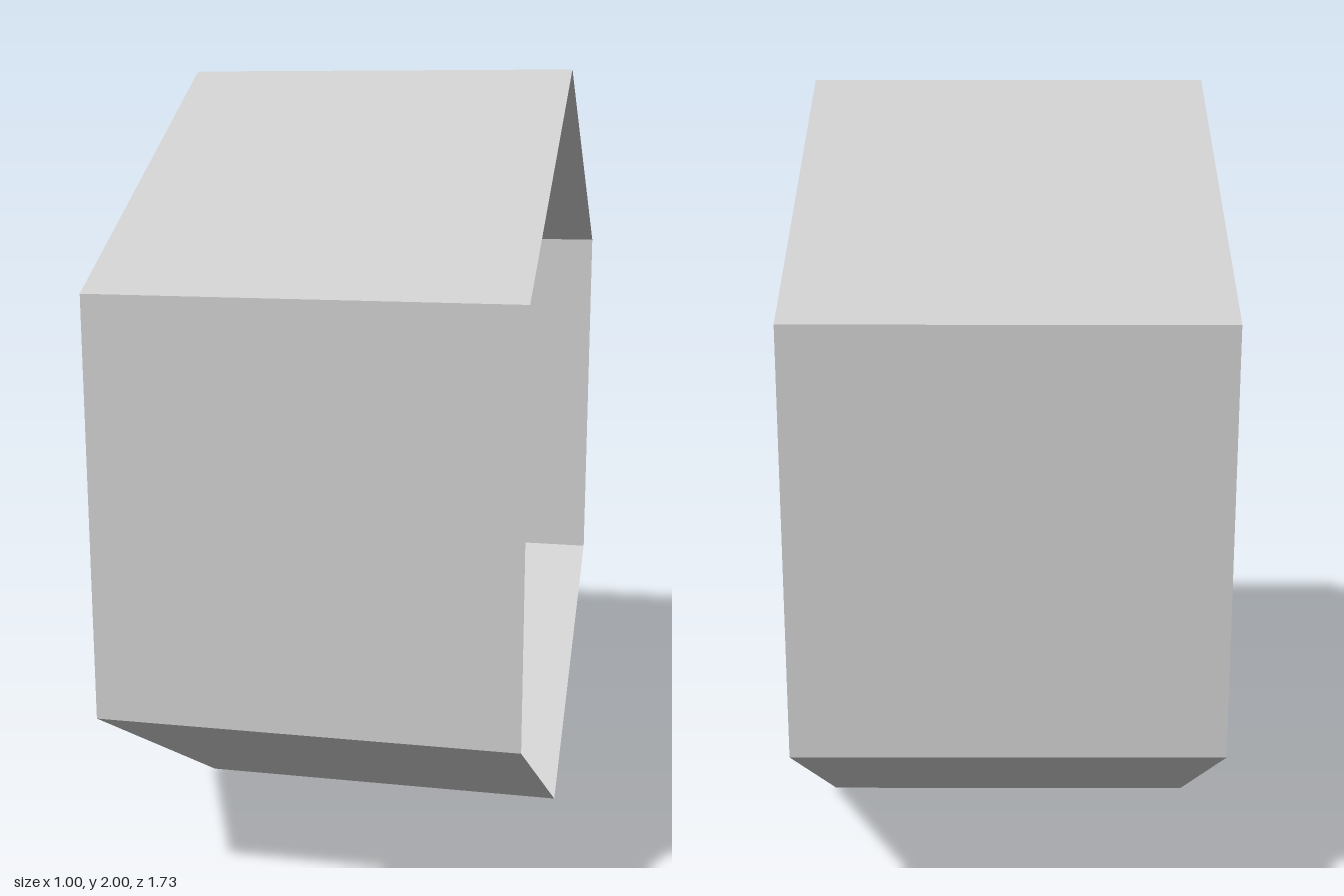
import * as THREE from 'three';

export function createModel() {
  const model = new THREE.Group();
  model.name = 'openHexagonalCup';

  const grey = new THREE.MeshStandardMaterial({ color: 0xcccccc });
  grey.name = 'light grey';
  grey.side = THREE.DoubleSide; // thin shell, seen from inside too
  grey.flatShading = true;

  const radius = 1, depth = 1, sides = 6;

  const add = (name, geometry) => {
    const mesh = new THREE.Mesh(geometry, grey);
    mesh.name = name;
    mesh.position.y = radius;
    model.add(mesh);
  };

  // Six walls around the x axis, with a ridge at the top and bottom
  add('hexagonalWalls', new THREE.CylinderGeometry(radius, radius, depth, sides, 1, true, Math.PI / 2)
    .rotateZ(Math.PI / 2));

  // Closed end on the -x side; the +x side stays open
  add('endWall', new THREE.CircleGeometry(radius, sides)
    .rotateZ(Math.PI / 2)
    .rotateY(-Math.PI / 2)
    .translate(-depth / 2, 0, 0));

  return model;
}
